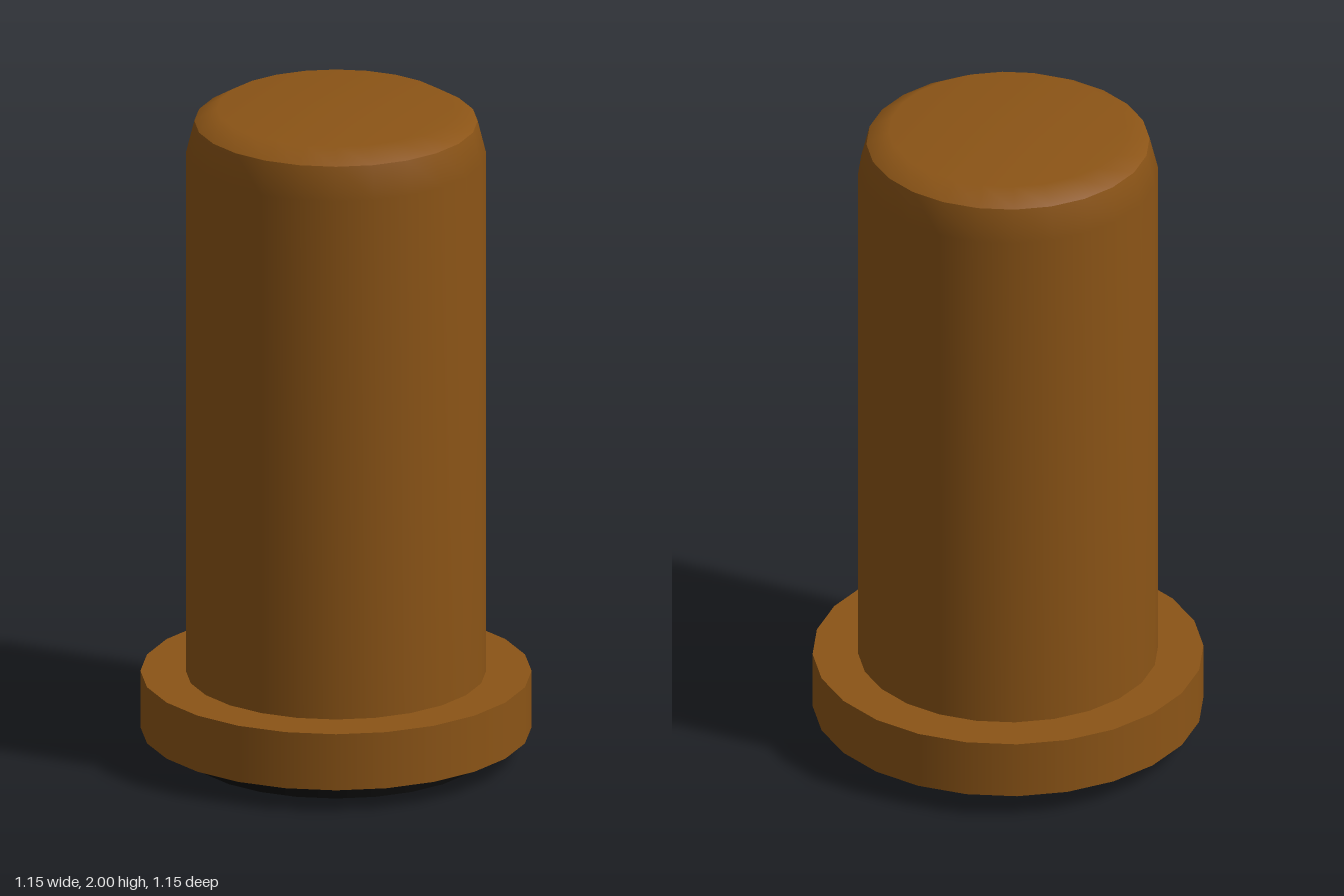
import * as THREE from 'three';

const SIDES = 24;

export function createModel() {
  const group = new THREE.Group();
  const brown = new THREE.MeshStandardMaterial({ color: 0x8b5416 });
  const black = new THREE.MeshStandardMaterial({ color: 0x0a0a0a });

  function add(name, geometry, material, y = 0) {
    const mesh = new THREE.Mesh(geometry, material);
    mesh.name = name;
    mesh.position.y = y;
    group.add(mesh);
  }
  // Smooth turned surface; profile runs from bottom to top as [radius, height]
  const turned = (points) =>
    new THREE.LatheGeometry(points.map(([r, y]) => new THREE.Vector2(r, y)), SIDES);

  // Black disc under the flange
  add('base', new THREE.CylinderGeometry(0.447, 0.447, 0.07, SIDES), black, 0.035);

  // Wide collar
  add('flange', new THREE.CylinderGeometry(0.577, 0.577, 0.175, SIDES), brown, 0.1575);

  // Tall shaft with a tapered shoulder
  add('shaft', turned([[0.443, 0.245], [0.443, 1.86], [0.418, 1.96]]), brown);

  // Softly domed top, split from the shaft to keep a crisp rim
  add('top', turned([[0.418, 1.96], [0.35, 2], [0, 2]]), brown);

  return group;
}
